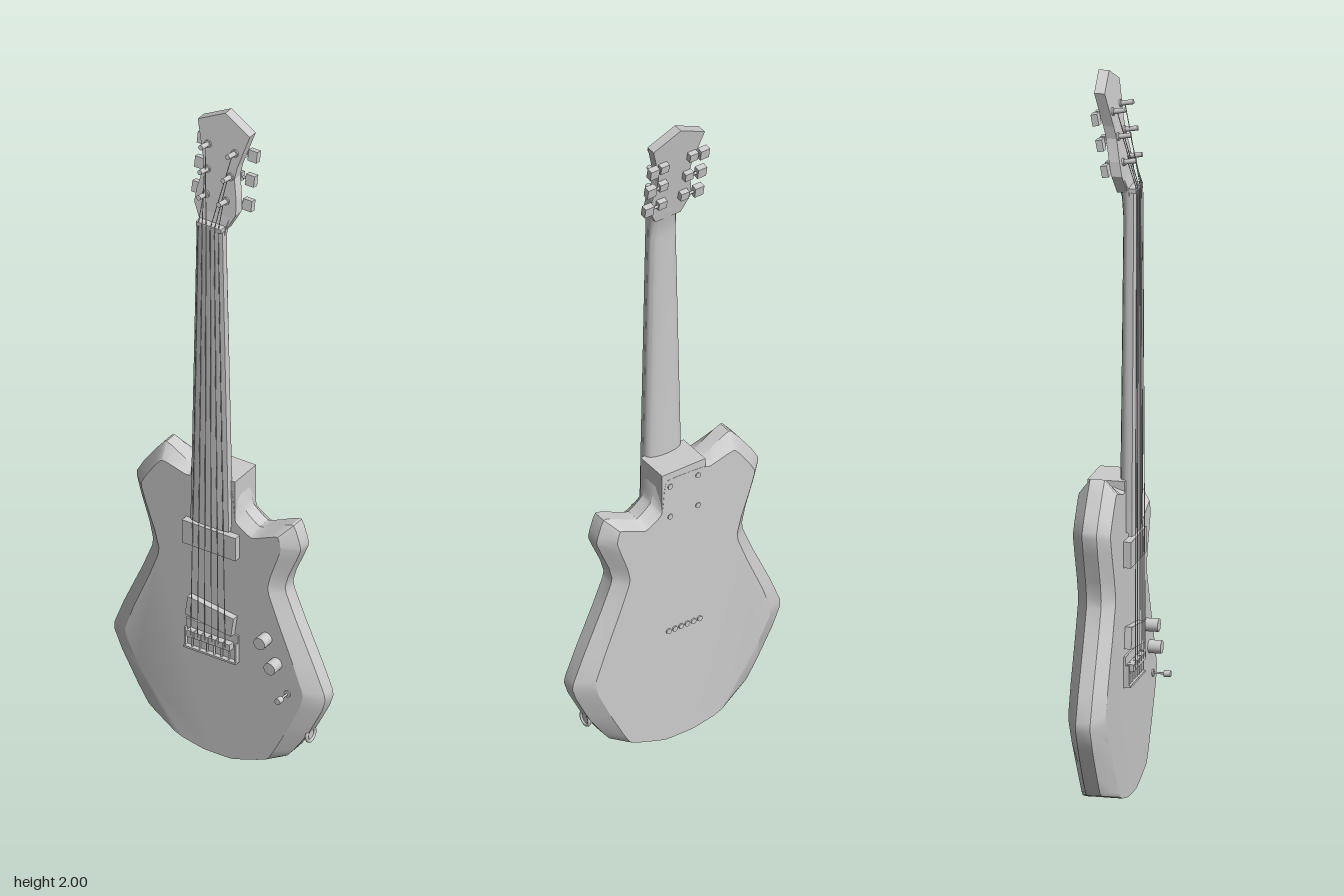
import * as THREE from 'three';
import { toCreasedNormals } from 'three/addons/utils/BufferGeometryUtils.js';

const grey = new THREE.MeshStandardMaterial({ color: 0xcccccc });
grey.name = 'plain grey';

// Joins equal-sized rings of [x, y, z]; flat() projects a ring for the end caps.
function loft(rings, flat, crease = 0.5) {
  const n = rings[0].length, index = [];
  for (let r = 0; r < rings.length - 1; r++) {
    for (let i = 0; i < n; i++) {
      const j = (i + 1) % n, a = r * n, b = a + n;
      index.push(a + i, a + j, b + j, a + i, b + j, b + i);
    }
  }
  const cap = (ring) => THREE.ShapeUtils.triangulateShape(ring.map((p) => new THREE.Vector2(...flat(p))), []);
  const last = (rings.length - 1) * n;
  cap(rings[0]).forEach(([a, b, c]) => index.push(a, c, b));
  cap(rings.at(-1)).forEach(([a, b, c]) => index.push(last + a, last + b, last + c));
  const g = new THREE.BufferGeometry();
  g.setAttribute('position', new THREE.Float32BufferAttribute(rings.flat(2), 3));
  g.setIndex(index);
  return toCreasedNormals(g, crease);
}

// Cuts the corners of a closed outline so that they look softly rounded.
function soften(points, t) {
  return points.flatMap((p, i) => {
    const q = points[(i + 1) % points.length];
    return [t, 1 - t].map((k) => p.map((v, c) => v + (q[c] - v) * k));
  });
}

// Front plane of the tilted headstock.
const headZ = (y) => 0.017 - 0.187 * (y - 1.72);
const headTilt = -Math.atan(0.187);

export function createModel() {
  const model = new THREE.Group();
  const add = (name, geometry, x = 0, y = 0, z = 0, parent = model) => {
    const mesh = new THREE.Mesh(geometry, grey);
    mesh.name = name;
    mesh.position.set(x, y, z);
    parent.add(mesh);
    return mesh;
  };
  const box = (name, w, h, d, x, y, z, parent) => add(name, new THREE.BoxGeometry(w, h, d), x, y, z, parent);
  // Cylinder facing the front
  const peg = (name, r, d, x, y, z, sides = 16, parent) =>
    add(name, new THREE.CylinderGeometry(r, r, d, sides).rotateX(Math.PI / 2), x, y, z, parent);

  // Body: each corner is outer x, outer y, inner x, inner y
  const corners = soften(soften([
    [0.06, 0, 0.06, 0], [0.218, 0.048, 0.175, 0.038], [0.282, 0.14, 0.235, 0.152],
    [0.346, 0.268, 0.293, 0.276], [0.203, 0.583, 0.168, 0.583], [0.263, 0.72, 0.217, 0.72],
    [0.238, 0.795, 0.207, 0.76], [0.13, 0.745, 0.122, 0.722], [0.085, 0.78, 0.07, 0.755],
    [0.06, 0.865, 0.06, 0.865], [-0.06, 0.868, -0.06, 0.86], [-0.085, 0.866, -0.085, 0.852],
    [-0.172, 0.92, -0.166, 0.875], [-0.27, 0.785, -0.235, 0.775], [-0.203, 0.583, -0.165, 0.583],
    [-0.346, 0.266, -0.293, 0.28], [-0.222, 0.048, -0.125, 0.02], [-0.03, 0, -0.03, 0],
  ], 0.09), 0.25);
  const outer = (z) => corners.map((c) => [c[0], c[1], z]);
  const inner = (z) => corners.map((c) => [c[2], c[3], z]);
  add('body', loft([inner(-0.078), outer(-0.045), outer(-0.005), inner(0.025)], (p) => [p[0], p[1]]));
  box('neckHeel', 0.14, 0.2, 0.102, 0, 0.784, -0.0265);

  // Neck: round back, thickening into the headstock; rows are y, half width, front z, back z
  const neckRings = [
    [0.74, 0.06, 0.032, 0], [0.9, 0.057, 0.032, 0], [1.6, 0.042, 0.032, 0.007],
    [1.66, 0.041, 0.031, 0.002], [1.69, 0.043, 0.026, -0.008], [1.72, 0.05, 0.016, -0.011], [1.74, 0.045, 0.012, -0.01],
  ].map(([y, w, f, b]) => {
    const ring = [[w, y, f]];
    for (let i = 0; i <= 10; i++) {
      const a = (i / 10) * Math.PI;
      ring.push([w * Math.cos(a), y, f - 0.006 - (f - 0.006 - b) * Math.sin(a) ** 0.8]);
    }
    ring.push([-w, y, f]);
    return ring;
  });
  add('neck', loft(neckRings, (p) => [p[2], p[0]], 0.7));
  const boardRings = [[0.73, 0.061], [1.675, 0.041]].map(([y, w]) =>
    [[w, y, 0.031], [-w, y, 0.031], [-w, y, 0.042], [-w * 0.6, y, 0.046], [w * 0.6, y, 0.046], [w, y, 0.042]]);
  add('fretboard', loft(boardRings, (p) => [p[2], p[0]]));
  box('nut', 0.08, 0.012, 0.022, 0, 1.681, 0.037);

  // Headstock: outline extruded, then slanted backwards
  const half = [[0.041, 1.675], [0.066, 1.725], [0.063, 1.765], [0.05, 1.825], [0.055, 1.86], [0.083, 1.957]];
  const outline = [...half, [0, 2], ...half.map(([x, y]) => [-x, y]).reverse()];
  const headGeometry = new THREE.ExtrudeGeometry(
    new THREE.Shape(outline.map((p) => new THREE.Vector2(...p))), { depth: 0.029, bevelEnabled: false });
  const pos = headGeometry.attributes.position;
  for (let i = 0; i < pos.count; i++) pos.setZ(i, pos.getZ(i) - 0.029 + headZ(pos.getY(i)));
  headGeometry.computeVertexNormals();
  add('headstock', headGeometry);

  // Tuners: post in front, gear case behind, button at the side
  const posts = [[0.032, 1.757], [0.037, 1.828], [0.043, 1.898]];
  for (const side of [-1, 1]) {
    for (const [x, y] of posts) {
      const tuner = new THREE.Group();
      tuner.name = 'tuner';
      tuner.position.set(side * x, y, headZ(y));
      tuner.rotation.x = headTilt;
      model.add(tuner);
      peg('tunerPost', 0.007, 0.04, 0, 0, 0.018, 12, tuner);
      peg('tunerWasher', 0.011, 0.006, 0, 0, 0.002, 12, tuner);
      box('gearCase', 0.026, 0.026, 0.016, side * 0.004, -0.004, -0.036, tuner);
      const reach = 0.08 - x;
      add('tunerShaft', new THREE.CylinderGeometry(0.004, 0.004, reach, 8).rotateZ(Math.PI / 2),
        side * reach / 2, -0.006, -0.037, tuner);
      box('tunerButton', 0.028, 0.032, 0.018, side * (0.081 - x), -0.006, -0.037, tuner);
    }
  }

  // Pickups
  box('neckPickup', 0.17, 0.072, 0.022, 0, 0.685, 0.035);
  const bridgePickup = box('bridgePickup', 0.148, 0.06, 0.022, 0, 0.442, 0.033);
  bridgePickup.rotation.z = -0.14;

  // Bridge: plate with raised rims and six saddles
  box('bridgePlate', 0.166, 0.085, 0.007, 0, 0.36, 0.027);
  box('bridgeRearRim', 0.166, 0.006, 0.02, 0, 0.32, 0.034);
  for (const side of [-1, 1]) box('bridgeSideRim', 0.005, 0.06, 0.016, side * 0.0805, 0.348, 0.032);
  for (let i = 0; i < 6; i++) {
    const u = i / 2.5 - 1;
    box('saddle', 0.021, 0.02, 0.02, u * 0.058, 0.368, 0.039);
    peg('saddleScrew', 0.003, 0.03, u * 0.058, 0.337, 0.036, 8).rotation.x = Math.PI / 2;

    // String from saddle to nut, then on to its post
    const post = posts[i < 3 ? i : 5 - i];
    const px = Math.sign(u) * post[0];
    const points = [[u * 0.055, 0.368, 0.05], [u * 0.032, 1.681, 0.049], [px, post[1], headZ(post[1]) + 0.014]]
      .map((p) => new THREE.Vector3(...p));
    const path = new THREE.CurvePath();
    path.add(new THREE.LineCurve3(points[0], points[1]));
    path.add(new THREE.LineCurve3(points[1], points[2]));
    add('string', new THREE.TubeGeometry(path, 60, 0.0012, 5));

    // String ferrule on the back
    peg('stringFerrule', 0.008, 0.006, u * 0.05, 0.36, -0.079, 12);
  }

  // Controls
  for (const [x, y] of [[0.17, 0.424], [0.202, 0.355]]) peg('knob', 0.018, 0.036, x, y, 0.042, 24);
  peg('switchBase', 0.01, 0.006, 0.238, 0.272, 0.026);
  peg('switchLever', 0.003, 0.04, 0.238, 0.272, 0.043, 8);
  peg('switchTip', 0.009, 0.018, 0.238, 0.272, 0.066);

  // Cable socket on the lower left edge
  const jack = new THREE.Group();
  jack.name = 'cableSocket';
  jack.position.set(0.277, 0.133, -0.022);
  jack.rotation.y = Math.PI / 2;
  jack.rotation.x = 0.55;
  jack.rotation.order = 'ZYX';
  jack.rotation.set(0, Math.PI / 2, 0);
  model.add(jack);
  add('socketRing', new THREE.TorusGeometry(0.019, 0.005, 8, 24), 0, 0, 0.004, jack);
  peg('socketPlate', 0.019, 0.012, 0, 0, -0.002, 20, jack);

  // Neck bolts on the back
  for (const x of [-0.045, 0.045]) {
    for (const y of [0.74, 0.84]) peg('neckBolt', 0.008, 0.005, x, y, -0.0785, 12);
  }
  return model;
}
